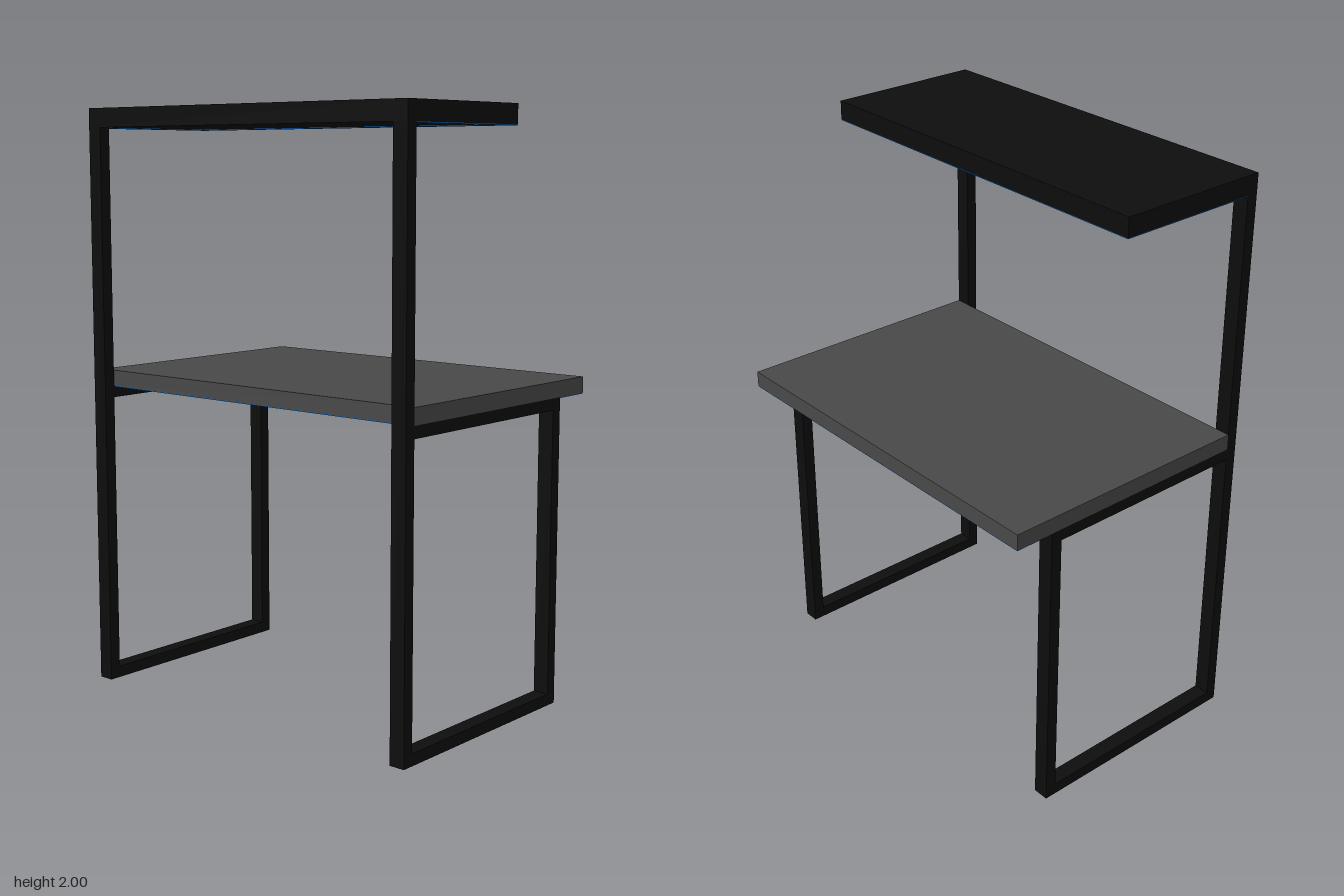
import * as THREE from 'three';

const black = new THREE.MeshStandardMaterial({ color: 0x0d0d0d });
const grey = new THREE.MeshStandardMaterial({ color: 0x484848 });
const blue = new THREE.MeshStandardMaterial({ color: 0x0066cc });

const HALF = 0.69;   // half width along z
const BACK = -0.48;  // rear of the posts
const TUBE_X = 0.04; // tube size in the frame plane
const TUBE_Z = 0.055;

const outline = (Type, pts) => new Type(pts.map(([x, y]) => new THREE.Vector2(x, y)));

function box(name, material, [x0, x1], [y0, y1], [z0, z1]) {
  const mesh = new THREE.Mesh(new THREE.BoxGeometry(x1 - x0, y1 - y0, z1 - z0), material);
  mesh.position.set((x0 + x1) / 2, (y0 + y1) / 2, (z0 + z1) / 2);
  mesh.name = name;
  return mesh;
}

// Closed leg loop whose rear post rises up to the shelf
function sideFrame(name, z) {
  const post = BACK + TUBE_X;
  const shape = outline(THREE.Shape, [[BACK, 0], [0.34, 0], [0.34, 1.05], [post, 1.05], [post, 1.935], [BACK, 1.935]]);
  shape.holes.push(outline(THREE.Path, [[post, 0.04], [post, 1.01], [0.3, 1.01], [0.3, 0.04]]));
  const mesh = new THREE.Mesh(new THREE.ExtrudeGeometry(shape, { depth: TUBE_Z, bevelEnabled: false }), black);
  mesh.position.z = z;
  mesh.name = name;
  return mesh;
}

// Thin light strip under a board; it follows the edge, with or without the rear run
function lightStrip(name, x0, x1, y, closed) {
  const w = 0.045, h = HALF - 0.001;
  let shape;
  if (closed) {
    shape = outline(THREE.Shape, [[x0, -h], [x1, -h], [x1, h], [x0, h]]);
    shape.holes.push(outline(THREE.Path, [[x0 + w, w - h], [x0 + w, h - w], [x1 - w, h - w], [x1 - w, w - h]]));
  } else {
    shape = outline(THREE.Shape, [[x0, -h], [x1, -h], [x1, h], [x0, h], [x0, h - w], [x1 - w, h - w], [x1 - w, w - h], [x0, w - h]]);
  }
  const mesh = new THREE.Mesh(new THREE.ExtrudeGeometry(shape, { depth: 0.003, bevelEnabled: false }), blue);
  mesh.rotation.x = Math.PI / 2;
  mesh.position.y = y;
  mesh.name = name;
  return mesh;
}

export function createModel() {
  const model = new THREE.Group();
  model.name = 'deskWithShelf';
  const post = BACK + TUBE_X;

  // Side frames
  model.add(sideFrame('leftSideFrame', HALF - TUBE_Z), sideFrame('rightSideFrame', -HALF));

  // Desk top with dark underside panel and light strip
  model.add(
    box('deskTop', grey, [post, 0.48], [1.05, 1.105], [-HALF, HALF]),
    box('deskUnderside', black, [post + 0.045, 0.435], [1.047, 1.051], [0.045 - HALF, HALF - 0.045]),
    lightStrip('deskLightStrip', post + 0.001, 0.479, 1.05, true)
  );

  // Overhead shelf with its light strip on the front and sides
  model.add(
    box('shelf', black, [BACK, 0.07], [1.935, 2], [-HALF, HALF]),
    lightStrip('shelfLightStrip', post, 0.069, 1.935, false)
  );
  return model;
}
